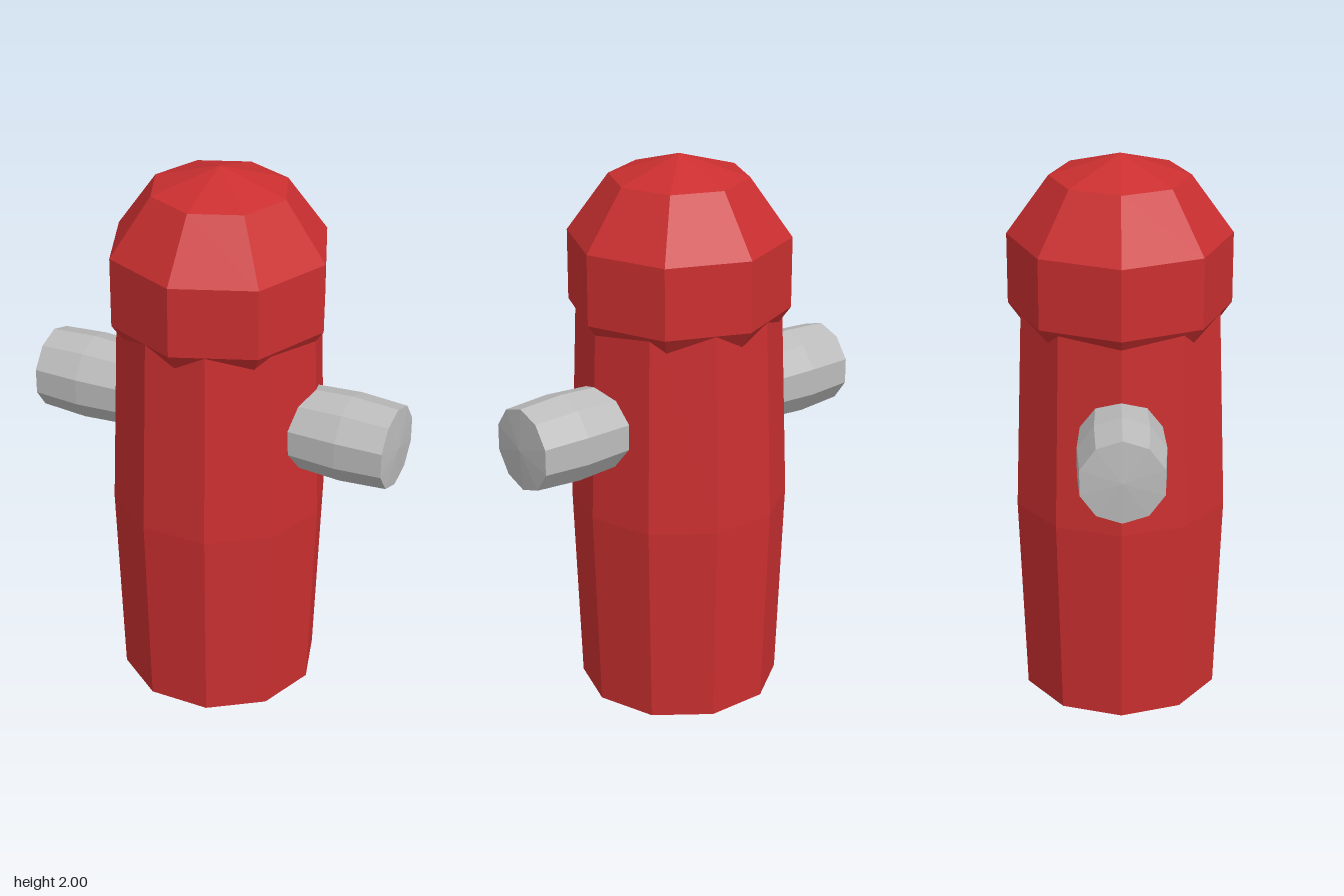
import * as THREE from 'three';

const red = new THREE.MeshStandardMaterial({ color: 0xcb2f30 });
red.name = 'hydrant red';
const grey = new THREE.MeshStandardMaterial({ color: 0xbcbcbc });
grey.name = 'nozzle grey';

// Faceted solid of revolution: rings are [radius, height] from bottom to top,
// with a corner of the polygon on the +x axis.
function turned(name, rings, sides, material) {
  const points = rings.map(([r, y]) => new THREE.Vector2(r, y));
  const geometry = new THREE.LatheGeometry(points, sides, Math.PI / 2).toNonIndexed();
  geometry.computeVertexNormals();
  const mesh = new THREE.Mesh(geometry, material);
  mesh.name = name;
  return mesh;
}

export function createModel() {
  const model = new THREE.Group();
  model.name = 'fireHydrant';

  // Ten-sided barrel, slightly swollen, with shallow pointed ends
  model.add(turned('body', [
    [0, 0], [0.35, 0.06], [0.376, 0.78], [0.35, 1.5], [0, 1.56],
  ], 10, red));

  // Eight-sided domed cap, its tapered underside sinking into the body
  model.add(turned('cap', [
    [0, 1.2], [0.237, 1.28], [0.38, 1.48], [0.38, 1.725], [0.237, 1.925], [0, 2],
  ], 8, red));

  // Side nozzles
  for (const side of [1, -1]) {
    const nozzle = turned(side > 0 ? 'leftNozzle' : 'rightNozzle', [
      [0, -0.19], [0.144, -0.18], [0.154, 0], [0.144, 0.165], [0, 0.175],
    ], 10, grey);
    nozzle.rotation.z = -side * Math.PI / 2;
    nozzle.position.set(side * 0.49, 1.112, 0);
    model.add(nozzle);
  }

  return model;
}
